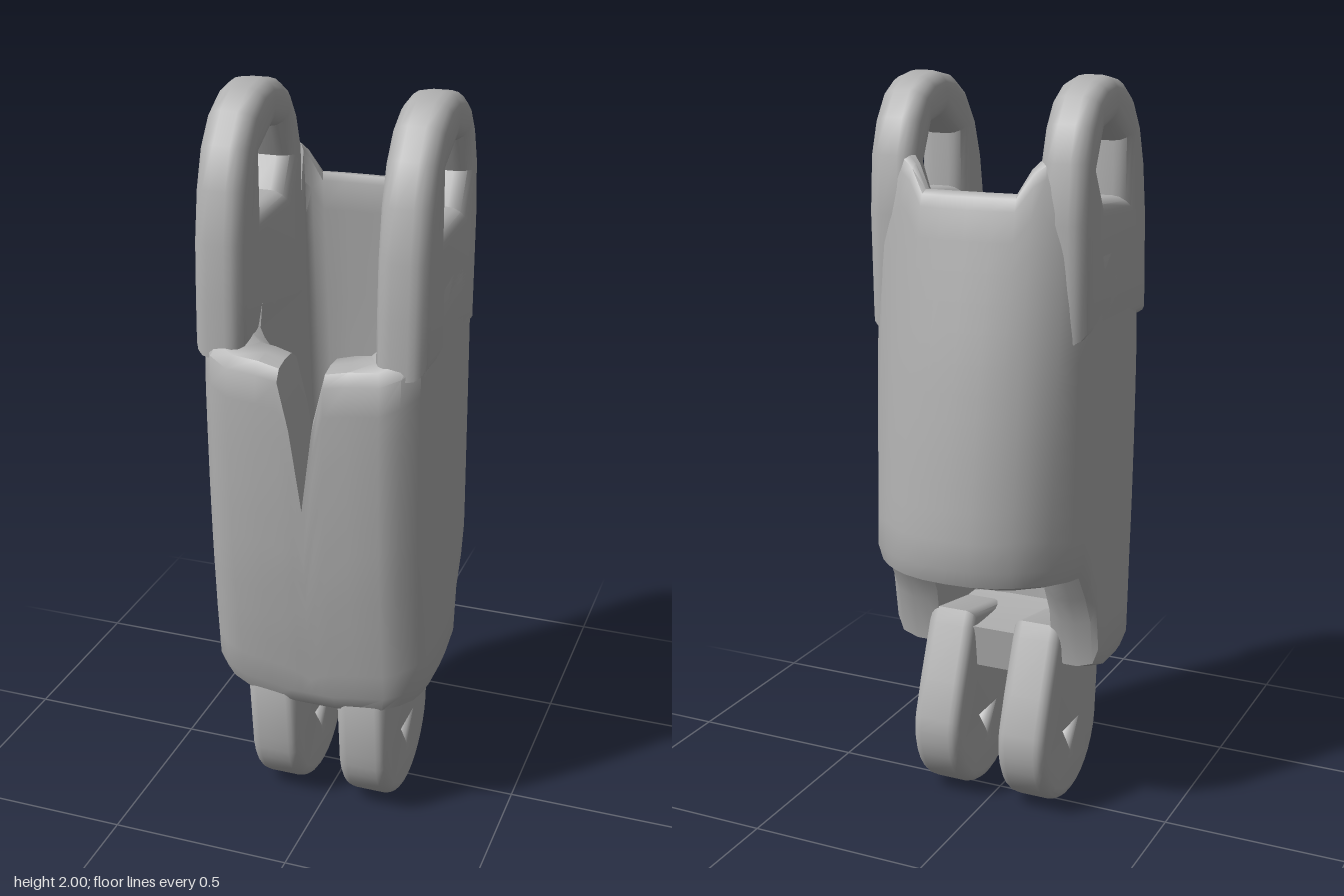
import * as THREE from 'three';
import { toCreasedNormals } from 'three/addons/utils/BufferGeometryUtils.js';

const grey = new THREE.MeshStandardMaterial({ color: 0xb0b0b0 });
grey.name = 'plain grey';

// Piecewise linear lookup in [[key, value], ...]
function lookup(table, k) {
  if (k <= table[0][0]) return table[0][1];
  for (let i = 1; i < table.length; i++) {
    const [k0, v0] = table[i - 1], [k1, v1] = table[i];
    if (k <= k1) return v0 + (v1 - v0) * (k - k0) / (k1 - k0);
  }
  return table[table.length - 1][1];
}

// Side profile of the body: height -> depth of back and front
const backZ = [[0.83, -0.35], [0.95, -0.335], [1.1, -0.315], [1.3, -0.283], [1.5, -0.245], [1.7, -0.205], [1.9, -0.15]];
const frontZ = [[0.33, 0.262], [0.4, 0.278], [0.6, 0.31], [0.8, 0.333], [1.0, 0.345], [1.2, 0.35], [1.35, 0.347], [1.42, 0.325], [1.6, 0.295]];

// Fit a reference depth (-0.35 to 0.35) to the profile at height y
function fitZ(z, y) {
  if (z < -0.1) return -0.1 + (z + 0.1) / 0.25 * (-0.1 - lookup(backZ, y));
  if (z > 0.15) return 0.15 + (z - 0.15) / 0.2 * (lookup(frontZ, y) - 0.15);
  return z;
}

// Wall columns of one half, back to front: outer x, z, inner x, z, bottom, top
const columns = [
  [0, -0.35, 0, -0.235, 0.72, 1.72],
  [0.07, -0.345, 0.06, -0.235, 0.72, 1.72],
  [0.13, -0.327, 0.12, -0.23, 0.72, 1.72],
  [0.17, -0.305, 0.15, -0.22, 0.72, 1.78],
  [0.2, -0.285, 0.165, -0.2, 0.72, 1.8],
  [0.25, -0.235, 0.17, -0.17, 0.715, 1.72],
  [0.285, -0.17, 0.17, -0.14, 0.71, 1.62],
  [0.3, -0.13, 0.17, -0.115, 0.71, 1.6],
  [0.305, -0.09, 0.17, -0.09, 0.64, 1.6],
  [0.305, -0.05, 0.17, -0.05, 0.56, 1.6],
  [0.305, -0.03, 0.17, -0.03, 0.43, 1.6],
  [0.305, 0.05, 0.17, 0.04, 0.4, 1.6],
  [0.305, 0.15, 0.17, 0.12, 0.4, 1.58],
  [0.3, 0.22, 0.17, 0.16, 0.4, 1.48],
  [0.285, 0.27, 0.165, 0.19, 0.39, 1.42],
  [0.25, 0.32, 0.15, 0.2, 0.38, 1.4],
  [0.2, 0.338, 0.13, 0.205, 0.36, 1.38],
  [0.12, 0.345, 0.1, 0.205, 0.35, 1.375],
  [0.06, 0.35, 0.06, 0.21, 0.34, 1.365],
  [0.03, 0.35, 0.03, 0.21, 0.34, 1.24],
  [0, 0.35, 0, 0.21, 0.34, 1.02],
];

// Hollow body: each column is a closed loop up the outside and down the inside
function shellGeometry() {
  const mirrored = columns.slice(1, -1).reverse().map(([x, z, ix, ...rest]) => [-x, z, -ix, ...rest]);
  const all = [...columns, ...mirrored];
  const positions = [], index = [], rows = 12;
  let count = 0;
  for (const [x, z, ix, iz, bottom, top] of all) {
    const loop = [[0.45, bottom], [0.12, bottom + 0.015]];
    for (let k = 0; k <= rows; k++) loop.push([0, bottom + 0.06 + (top - bottom - 0.1) * k / rows]);
    loop.push([0.12, top - 0.01], [0.4, top], [0.75, top]);
    for (let k = rows; k >= 0; k--) loop.push([1, bottom + 0.03 + (top - bottom - 0.05) * k / rows]);
    loop.push([0.75, bottom]);
    count = loop.length;
    for (const [f, y] of loop) {
      positions.push(x + (ix - x) * f, y, fitZ(z, y) * (1 - f) + fitZ(iz, y) * f);
    }
  }
  for (let i = 0; i < all.length; i++) {
    for (let j = 0; j < count; j++) {
      const i2 = (i + 1) % all.length, j2 = (j + 1) % count;
      const a = i * count + j, b = i * count + j2, c = i2 * count + j, d = i2 * count + j2;
      index.push(a, b, c, b, d, c);
    }
  }
  const geometry = new THREE.BufferGeometry();
  geometry.setAttribute('position', new THREE.Float32BufferAttribute(positions, 3));
  geometry.setIndex(index);
  return toCreasedNormals(geometry, 0.7);
}

// Plate with a (z, y) outline between x0 and x1, with rounded edges
function plateGeometry(outline, hole, x0, x1, bevel) {
  const shape = new THREE.Shape(outline.map(([z, y]) => new THREE.Vector2(z, y)));
  if (hole) shape.holes.push(new THREE.Path(hole.map(([z, y]) => new THREE.Vector2(z, y))));
  const geometry = new THREE.ExtrudeGeometry(shape, {
    depth: x1 - x0 - 2 * bevel, bevelEnabled: bevel > 0, bevelThickness: bevel,
    bevelSize: bevel, bevelOffset: -bevel, bevelSegments: 4,
  });
  geometry.rotateY(-Math.PI / 2);
  geometry.translate(x1 - bevel, 0, 0);
  return toCreasedNormals(geometry, 0.7);
}

export function createModel() {
  const model = new THREE.Group();
  const add = (name, geometry) => {
    const mesh = new THREE.Mesh(geometry, grey);
    mesh.name = name;
    model.add(mesh);
  };

  add('hollowBody', shellGeometry());

  // Floor of the cavity
  add('floor', plateGeometry([[-0.03, 0.38], [0.04, 0.355], [0.22, 0.35], [0.22, 0.52], [0.1, 0.5], [-0.045, 0.5]], null, -0.19, 0.19, 0));

  // Upper ears with pin holes
  const earOutline = [[-0.165, 1.35], [0.305, 1.35], [0.3, 1.5], [0.292, 1.64], [0.27, 1.77], [0.235, 1.87],
    [0.18, 1.945], [0.11, 1.988], [0.04, 2], [-0.03, 1.988], [-0.085, 1.955], [-0.13, 1.89], [-0.16, 1.8], [-0.172, 1.65]];
  const earHole = [[0.13, 1.69], [0.13, 1.83], [0.04, 1.88], [-0.025, 1.865], [-0.065, 1.78], [-0.02, 1.7]];

  // Lower hinge lugs with a strut behind
  const lugOutline = [[0.262, 0.37], [0.2, 0.5], [-0.04, 0.54], [-0.06, 0.5], [-0.12, 0.35]];
  for (let k = 0; k <= 18; k++) {
    const a = Math.PI * (0.93 + 1.07 * k / 18);
    lugOutline.push([0.043 + 0.203 * Math.cos(a), 0.205 + 0.205 * Math.sin(a)]);
  }
  const lugHole = [[0.078, 0.208], [0.008, 0.208], [0.043, 0.162]];

  for (const [side, s] of [['left', 1], ['right', -1]]) {
    const range = (a, b) => (s > 0 ? [a, b] : [-b, -a]);
    add(side + 'Ear', plateGeometry(earOutline, earHole, ...range(0.17, 0.305), 0.045));
    add(side + 'HingeLug', plateGeometry(lugOutline, lugHole, ...range(0.057, 0.2), 0.03));
  }
  return model;
}
